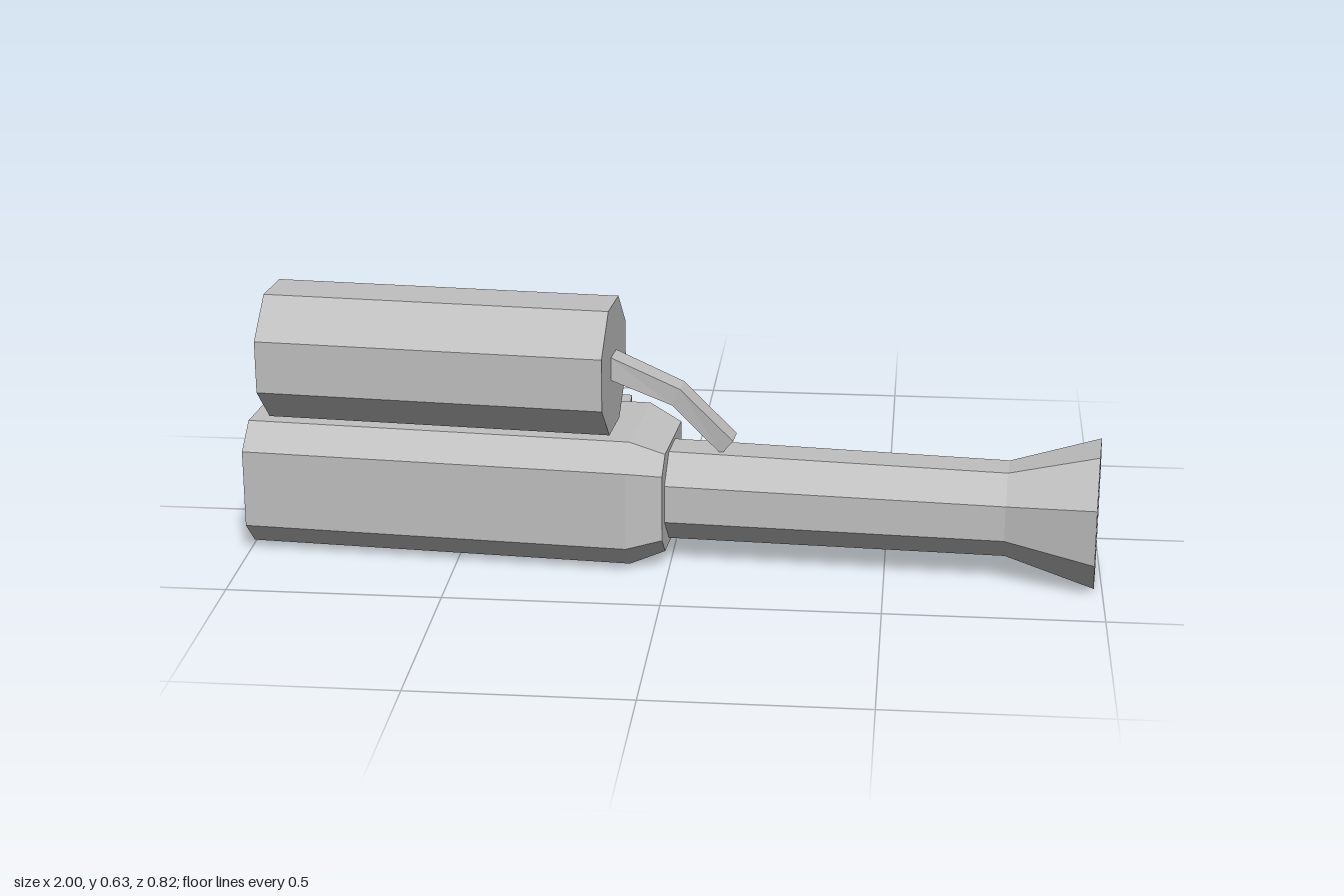
import * as THREE from 'three';

const grey = new THREE.MeshStandardMaterial({ color: 0xc0c0c0, flatShading: true });
grey.name = 'plain grey';

// Skin a run of convex rings, each a list of [x, y, z] corners
// anticlockwise when seen from the far end, and cap both ends.
function loft(name, rings) {
  const pos = [];
  const tri = (a, b, c) => pos.push(...a, ...b, ...c);
  const n = rings[0].length;
  for (let r = 0; r < rings.length - 1; r++) {
    const A = rings[r], B = rings[r + 1];
    for (let i = 0; i < n; i++) {
      const j = (i + 1) % n;
      tri(A[i], A[j], B[j]);
      tri(A[i], B[j], B[i]);
    }
  }
  const first = rings[0], last = rings[rings.length - 1];
  for (let i = 1; i < n - 1; i++) {
    tri(first[0], first[i + 1], first[i]);
    tri(last[0], last[i], last[i + 1]);
  }
  const geo = new THREE.BufferGeometry();
  geo.setAttribute('position', new THREE.Float32BufferAttribute(pos, 3));
  geo.computeVertexNormals();
  const mesh = new THREE.Mesh(geo, grey);
  mesh.name = name;
  return mesh;
}

// Octagon with a flat top, across the x axis
function octagon(x, apothem, y, z) {
  const r = apothem / Math.cos(Math.PI / 8);
  return Array.from({ length: 8 }, (_, i) => {
    const t = (i + 0.5) * Math.PI / 4;
    return [x, y + r * Math.sin(t), z - r * Math.cos(t)];
  });
}

// Rectangle facing -z, for the parts on the back
const backRect = (z, x0, x1, y0, y1) =>
  [[x0, y0, z], [x0, y1, z], [x1, y1, z], [x1, y0, z]];

// Slanted rectangle for the feed pipe
const pipeRect = (xTop, yTop, xLow, yLow, z, half) =>
  [[xLow, yLow, z - half], [xTop, yTop, z - half], [xTop, yTop, z + half], [xLow, yLow, z + half]];

export function createModel() {
  const model = new THREE.Group();
  model.name = 'launcher';

  // Housing: square at the back, bevelled on the outer side, tapered at the nose
  const section = [[0.01, 0.01], [0.312, 0.01], [0.312, 0.29], [0.255, 0.35], [0.07, 0.35], [0.01, 0.29]];
  const nose = [[0.04, 0.042], [0.28, 0.042], [0.28, 0.272], [0.24, 0.315], [0.083, 0.315], [0.04, 0.272]];
  const at = (x, pts) => pts.map(([y, z]) => [x, y, z]);
  model.add(loft('housing', [at(-0.98, section), at(-0.07, section), at(0.01, nose)]));

  // Barrel with a flared, hollow muzzle
  const barrel = [[0, 0.108], [0.795, 0.102], [1.002, 0.16], [1.002, 0.127], [0.83, 0.085]];
  model.add(loft('barrel', barrel.map(([x, a]) => octagon(x, a, 0.16, 0.174))));

  // Tank above the housing
  model.add(loft('tank', [-0.925, -0.115].map((x) => octagon(x, 0.149, 0.478, 0.237))));

  // Bent pipe from the tank down to the barrel
  model.add(loft('feedPipe', [
    pipeRect(-0.12, 0.51, -0.12, 0.455, 0.24, 0.032),
    pipeRect(0.04, 0.43, 0.022, 0.39, 0.212, 0.03),
    pipeRect(0.158, 0.295, 0.13, 0.262, 0.171, 0.029),
  ]));

  // Grips and trigger on the back
  model.add(loft('rearGrip', [
    backRect(0.02, -0.775, -0.575, 0.085, 0.238),
    backRect(-0.349, -0.848, -0.657, 0.09, 0.232),
  ]));
  model.add(loft('frontGrip', [
    backRect(0.02, -0.25, -0.135, 0.103, 0.22),
    backRect(-0.299, -0.303, -0.172, 0.103, 0.22),
  ]));
  model.add(loft('trigger', [
    backRect(0.02, -0.55, -0.47, 0.14, 0.185),
    backRect(-0.102, -0.526, -0.522, 0.14, 0.185),
  ]));

  // The whole piece is turned slightly
  model.rotation.y = -0.073;
  return model;
}
